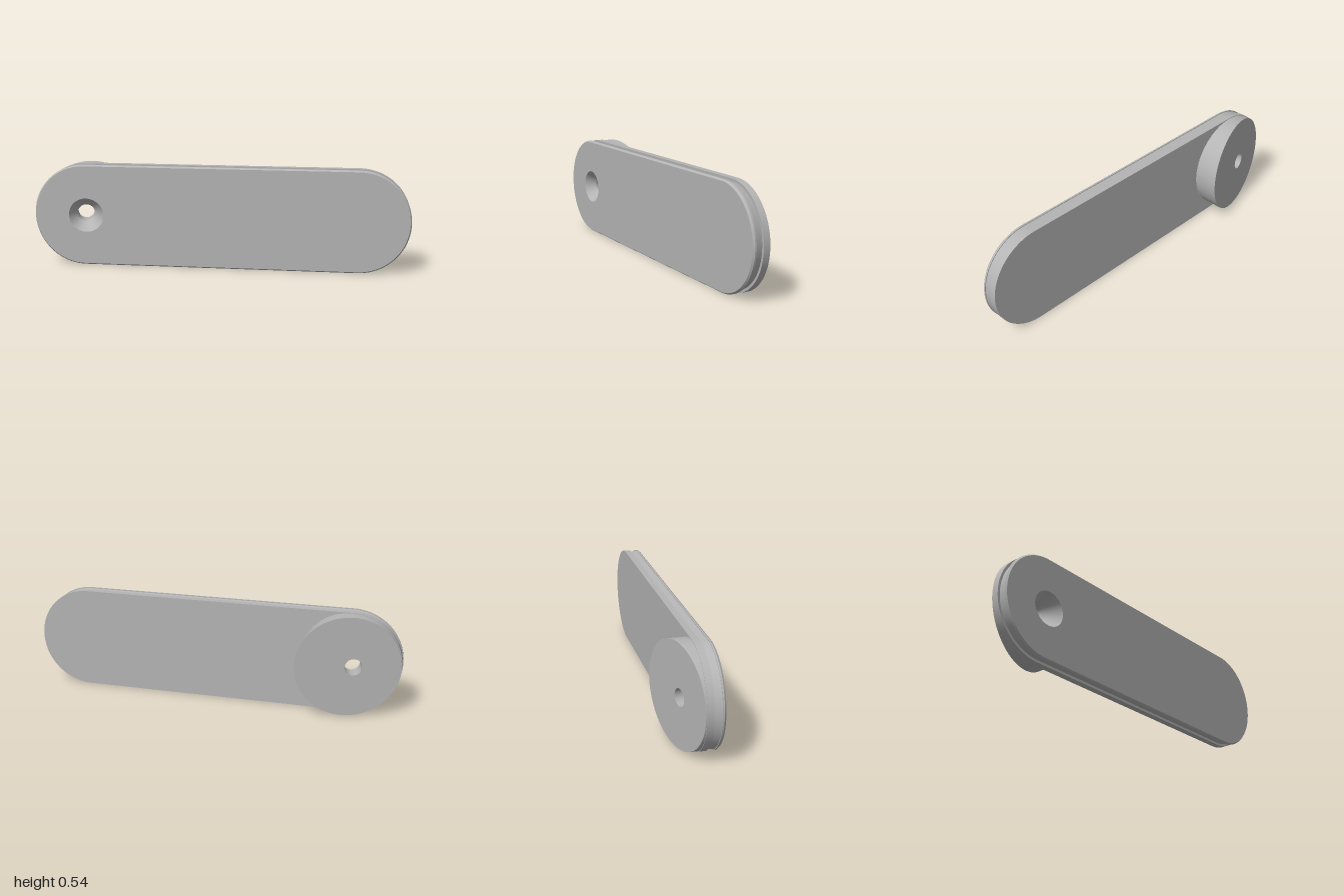
import * as THREE from 'three';

const R = 0.272;          // half height of the rounded bar
const CX = 0.728;         // centres of the rounded ends
const TILT = -0.246;      // slope of the wedge face in z over x
const wedgeZ = (x) => 0.02 + TILT * (x + 1);

// Closed rounded-bar outline at depth z, inset from the full size
function barRing(inset, z) {
  const pts = [], r = R - inset, n = 40;
  for (const side of [1, -1]) {
    for (let i = 0; i <= n; i++) {
      const a = -Math.PI / 2 + (Math.PI * i) / n;
      pts.push(new THREE.Vector3(side * (CX + r * Math.cos(a)), R + side * r * Math.sin(a), z));
    }
  }
  return pts;
}

// Ellipse, optionally tilted in z along x
function ovalRing(cx, cz, rx, ry, slope = 0, n = 72) {
  return Array.from({ length: n }, (_, i) => {
    const a = (2 * Math.PI * i) / n, dx = rx * Math.cos(a);
    return new THREE.Vector3(cx + dx, R + ry * Math.sin(a), cz + slope * dx);
  });
}

// Smooth band between two rings, facing outward when listed front to back
function band(a, b) {
  const n = a.length, index = [];
  for (let i = 0; i < n; i++) {
    const j = (i + 1) % n;
    index.push(i, n + i, j, n + i, n + j, j);
  }
  const g = new THREE.BufferGeometry().setFromPoints([...a, ...b]);
  g.setIndex(index);
  g.computeVertexNormals();
  return g;
}

// Flat face inside a ring with an optional hole, placed at z = depth(x)
function face(ring, hole, depth, back) {
  const flat = (pts) => pts.map((p) => new THREE.Vector2(p.x, p.y));
  const shape = new THREE.Shape(flat(ring));
  if (hole) shape.holes.push(new THREE.Path(flat(hole)));
  const g = new THREE.ShapeGeometry(shape);
  const pos = g.attributes.position;
  for (let i = 0; i < pos.count; i++) pos.setZ(i, depth(pos.getX(i)));
  if (back) g.setIndex(Array.from(g.index.array).reverse());
  g.computeVertexNormals();
  return g;
}

export function createModel() {
  const model = new THREE.Group();
  model.name = 'roundedHandlePlate';
  const grey = new THREE.MeshStandardMaterial({ color: 0xb4b4b4 });
  grey.name = 'grey';

  const part = (name, geometries) => {
    const group = new THREE.Group();
    group.name = name;
    geometries.forEach((g, i) => {
      const mesh = new THREE.Mesh(g, grey);
      mesh.name = `${name}Surface${i + 1}`;
      group.add(mesh);
    });
    model.add(group);
  };

  // Rings of the tilted screw hole
  const mouth = ovalRing(-0.718, 0.114, 0.0945, 0.091);
  const seat = ovalRing(-0.7355, 0.045, 0.0437, 0.045, TILT);
  const exit = ovalRing(-0.757, wedgeZ(-0.757), 0.0437, 0.045, TILT);

  // Bar rim: chamfer, lip, tapered groove and back flange
  const profile = [
    [0.007, 0.114], [0, 0.105], [0, 0.097], [0.004, 0.097],
    [0.013, 0.059], [0, 0.059], [0, 0.024],
  ].map(([inset, z]) => barRing(inset, z));
  part('barRim', profile.slice(1).map((ring, i) => band(profile[i], ring)));

  // Wedge boss: round wall cut by the slanted face
  const base = ovalRing(-CX, 0.024, 0.269, 0.269, 0, 96);
  const top = base.map((p) => new THREE.Vector3(p.x, p.y, wedgeZ(p.x)));
  part('wedgeBoss', [band(base, top), face(top, exit, wedgeZ, true)]);

  // Front and back faces of the bar
  part('frontFace', [face(profile[0], mouth, () => 0.114, false)]);
  part('backFace', [face(profile[6], base, () => 0.024, true)]);

  // Countersink and bore, facing inward
  part('screwHole', [band(seat, mouth), band(exit, seat)]);

  return model;
}
